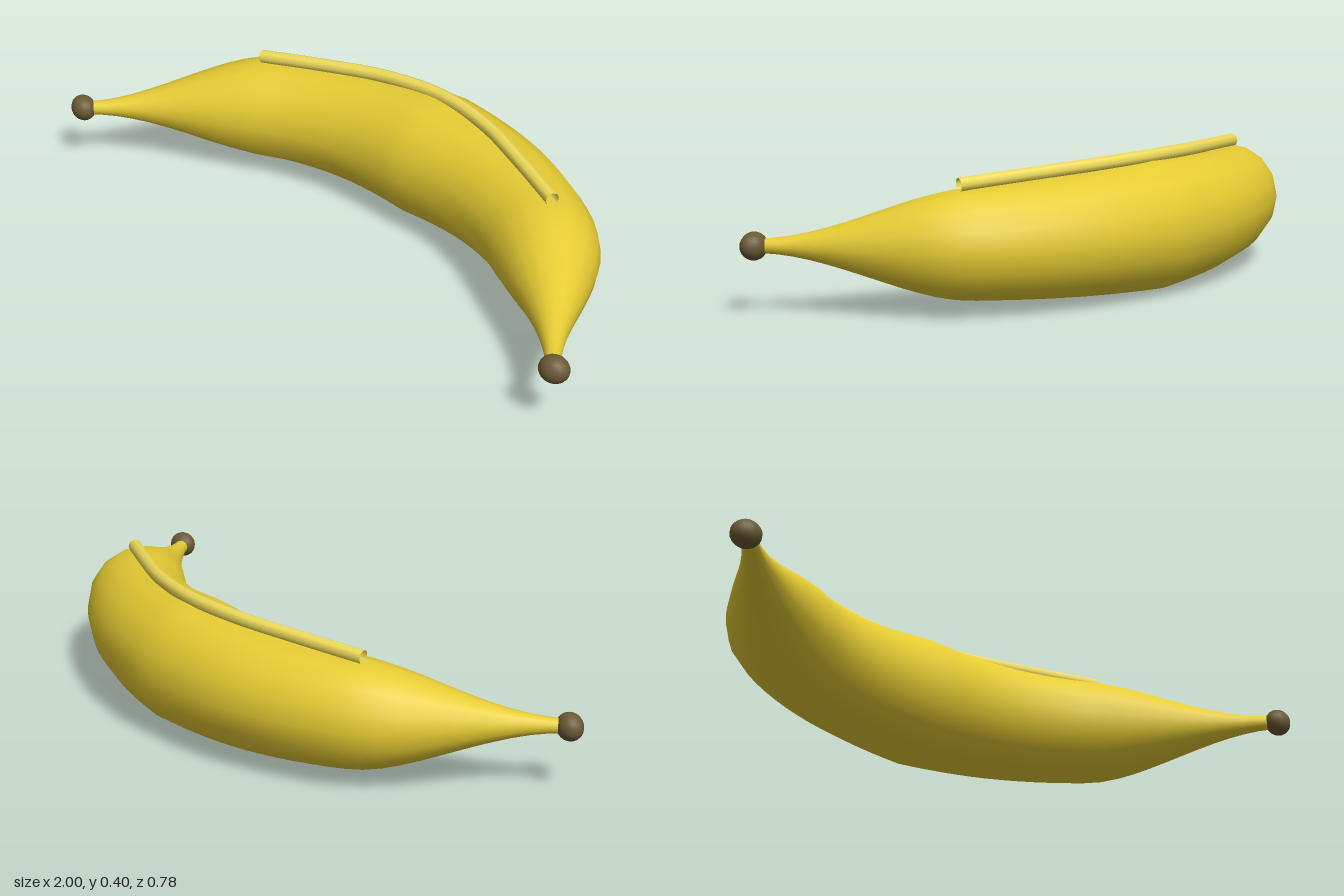
import * as THREE from 'three';
import { mergeVertices } from 'three/addons/utils/BufferGeometryUtils.js';

const MID_Y = 0.19;

// Smooth curve mirrored across x = 0, given from the middle outwards
function mirroredCurve(half) {
  const left = half.slice(1).reverse().map(([x, y, z]) => [-x, y, z]);
  return new THREE.CatmullRomCurve3([...left, ...half].map(p => new THREE.Vector3(...p)));
}

// Thickness: nearly even along the middle, easing down to thin ends
function radiusAt(x) {
  const a = Math.abs(x);
  if (a < 0.545) return THREE.MathUtils.lerp(0.19, 0.155, a / 0.545);
  return THREE.MathUtils.lerp(0.155, 0.02, THREE.MathUtils.smoothstep(a, 0.545, 0.95));
}

// Tube whose rings are scaled to the thickness at their centre
function taperedTube(curve, rings, sides) {
  const geo = new THREE.TubeGeometry(curve, rings, 1, sides, false);
  const pos = geo.attributes.position;
  const v = new THREE.Vector3();
  for (let i = 0; i <= rings; i++) {
    const c = curve.getPointAt(i / rings);
    const r = radiusAt(c.x);
    for (let j = 0; j <= sides; j++) {
      const k = i * (sides + 1) + j;
      v.fromBufferAttribute(pos, k).sub(c).multiplyScalar(r).add(c);
      pos.setXYZ(k, v.x, v.y, v.z);
    }
  }
  geo.deleteAttribute('uv');
  geo.deleteAttribute('normal');
  const smooth = mergeVertices(geo, 1e-5);
  smooth.computeVertexNormals();
  return smooth;
}

export function createModel() {
  const group = new THREE.Group();
  const add = (name, geo, color, side = THREE.FrontSide) => {
    const mesh = new THREE.Mesh(geo, new THREE.MeshStandardMaterial({ color, side }));
    mesh.name = name;
    group.add(mesh);
    return mesh;
  };

  // Curved fruit body
  const spine = mirroredCurve([
    [0, MID_Y, -0.203], [0.29, MID_Y, -0.172], [0.545, MID_Y, -0.065],
    [0.71, MID_Y, 0.082], [0.95, MID_Y, 0.35],
  ]);
  add('body', taperedTube(spine, 48, 16), 0xe6cc33);

  // Raised ridge along the top
  const ridge = mirroredCurve([
    [0, 0.385, -0.22], [0.2, 0.38, -0.193], [0.4, 0.368, -0.125], [0.585, 0.355, -0.053],
  ]);
  add('ridge', new THREE.TubeGeometry(ridge, 32, 0.02, 8, false), 0xf0dc5a, THREE.DoubleSide);

  // Dark tips at both ends
  for (const s of [-1, 1]) {
    const tip = add(s > 0 ? 'leftTip' : 'rightTip', new THREE.SphereGeometry(1, 16, 12), 0x6b5a35);
    tip.scale.set(0.043, 0.039, 0.036);
    tip.position.set(s * 0.957, MID_Y, 0.353);
    tip.rotation.y = s > 0 ? 0.25 : -0.25;
  }
  return group;
}
